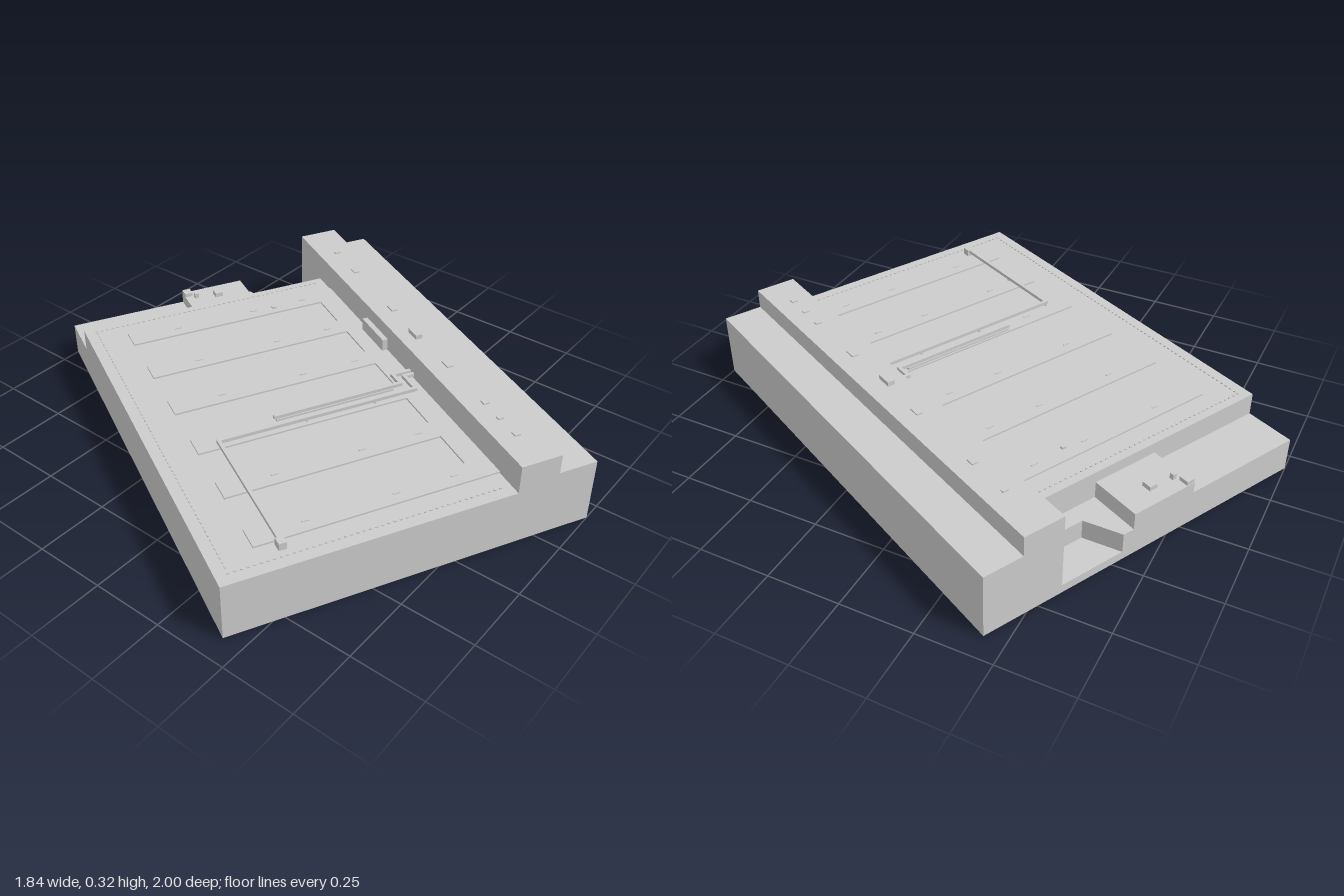
import * as THREE from 'three';
import { mergeGeometries } from 'three/addons/utils/BufferGeometryUtils.js';

const grey = new THREE.MeshStandardMaterial({ color: 0xcccccc, flatShading: true });

// Layout axes: x across the slab, z along it; the group is turned at the end.
const W = 0.62, L = 0.805, DECK = 0.2, WALL_IN = 0.338, WALL_OUT = 0.482, WALL_TOP = 0.3;

export function createModel() {
  const model = new THREE.Group();
  const site = new THREE.Group();
  site.name = 'site';
  site.rotation.y = -0.478;
  model.add(site);

  const add = (name, geometry) => {
    const mesh = new THREE.Mesh(geometry, grey);
    mesh.name = name;
    site.add(mesh);
    return mesh;
  };
  const boxGeo = (x0, x1, y0, y1, z0, z1) =>
    new THREE.BoxGeometry(x1 - x0, y1 - y0, z1 - z0)
      .translate((x0 + x1) / 2, (y0 + y1) / 2, (z0 + z1) / 2);
  const blockGeo = (x, z, w, d, y, h) =>
    boxGeo(x - w / 2, x + w / 2, y, y + h, z - d / 2, z + d / 2);
  const shapeOf = (points) => new THREE.Shape(points.map(([x, y]) => new THREE.Vector2(x, y)));

  // Slab sections: a shared wall-and-ledge profile with a different floor line
  const section = (name, z0, z1, floor) => {
    const profile = [[-W, 0], [W, 0], [W, 0.23], [WALL_OUT, 0.23], [WALL_OUT, WALL_TOP], [WALL_IN, WALL_TOP], ...floor];
    add(name, new THREE.ExtrudeGeometry(shapeOf(profile), { depth: z1 - z0, bevelEnabled: false }).translate(0, 0, z0));
  };
  const lowDeck = [[0.065, 0.1], [0.065, 0.16], [-0.18, 0.16], [-0.18, 0.12], [-W, 0.12]];
  section('mainPlatform', -0.625, L, [[WALL_IN, DECK], [-W, DECK]]);
  section('rearShelf', -0.685, -0.625, [[WALL_IN, 0.1], ...lowDeck]);
  section('rearPit', -L, -0.685, [[WALL_IN, 0.03], [0.105, 0.03], [0.105, 0.1], ...lowDeck]);

  // Slanted side of the pit
  const wedge = shapeOf([[0.105, L], [0.105, 0.685], [0.165, 0.685]]);
  add('pitSide', new THREE.ExtrudeGeometry(wedge, { depth: 0.07, bevelEnabled: false })
    .rotateX(-Math.PI / 2).translate(0, 0.03, 0));

  // Raised comb: a strip by the wall with six long fingers
  const comb = [boxGeo(0.26, WALL_IN, DECK, 0.206, -0.53, 0.7)];
  const marks = [];
  for (let i = 0; i < 6; i++) {
    const z = -0.53 + i * 0.23;
    comb.push(boxGeo(-0.48, 0.26, DECK, 0.206, z, z + 0.08));
    for (const x of [-0.3, 0, 0.2]) marks.push(blockGeo(x, z + 0.04, 0.025, 0.006, 0.206, 0.003));
  }
  add('raisedFingers', mergeGeometries(comb));
  add('fingerMarkers', mergeGeometries(marks));

  // Dotted border studs around the platform
  const studs = [];
  for (let x = -0.58; x < 0.32; x += 0.02)
    for (const z of [-0.595, 0.765]) studs.push(blockGeo(x, z, 0.008, 0.004, DECK, 0.004));
  for (let z = -0.58; z < 0.76; z += 0.02) studs.push(blockGeo(-0.58, z, 0.004, 0.008, DECK, 0.004));
  add('borderStuds', mergeGeometries(studs));

  // Pipes as square runs between [x, z] points
  const pipe = (name, points, size, y) => {
    const runs = [];
    for (let i = 1; i < points.length; i++) {
      const [ax, az] = points[i - 1], [bx, bz] = points[i];
      runs.push(boxGeo(Math.min(ax, bx) - size / 2, Math.max(ax, bx) + size / 2, y, y + size,
        Math.min(az, bz) - size / 2, Math.max(az, bz) + size / 2));
    }
    add(name, mergeGeometries(runs));
  };
  pipe('longPipe', [[-0.405, 0.72], [-0.405, 0.222], [0.302, 0.222], [0.302, 0.143], [WALL_IN, 0.143]], 0.012, 0.213);
  pipe('shortPipe', [[-0.19, 0.175], [0.27, 0.175], [0.27, 0.12], [WALL_IN, 0.12]], 0.012, 0.213);
  add('shortPipeBase', boxGeo(-0.19, 0.24, DECK, 0.213, 0.165, 0.185));
  add('pipeEndBox', blockGeo(-0.405, 0.725, 0.025, 0.03, DECK, 0.026));
  for (const [x, z] of [[-0.405, 0.45], [-0.405, 0.222], [-0.1, 0.222], [0.15, 0.222]])
    add('pipeSupport', blockGeo(x, z, 0.008, 0.008, DECK, 0.014));

  // Wall fittings: an inner box and low blocks along the top
  add('wallBox', boxGeo(0.318, WALL_IN, DECK, 0.25, -0.21, -0.05));
  add('wallTopBox', blockGeo(0.4, 0.035, 0.025, 0.055, WALL_TOP, 0.016));
  for (const [z, d] of [[0.66, 0.02], [0.57, 0.015], [0.48, 0.02], [0.24, 0.04], [-0.157, 0.04], [-0.46, 0.03], [-0.62, 0.012]])
    add('wallTopBlock', blockGeo(0.41, z, 0.022, d, WALL_TOP, 0.005));

  // Equipment on the rear deck and platform
  add('deckBox', blockGeo(-0.055, -0.737, 0.03, 0.035, 0.16, 0.016));
  add('deckEdgeBox', blockGeo(-0.165, -0.785, 0.03, 0.035, 0.16, 0.014));
  add('deckSmallBox', blockGeo(-0.14, -0.75, 0.015, 0.015, 0.16, 0.02));
  add('platformBox', blockGeo(0.078, -0.48, 0.015, 0.012, 0.206, 0.008));

  return model;
}
